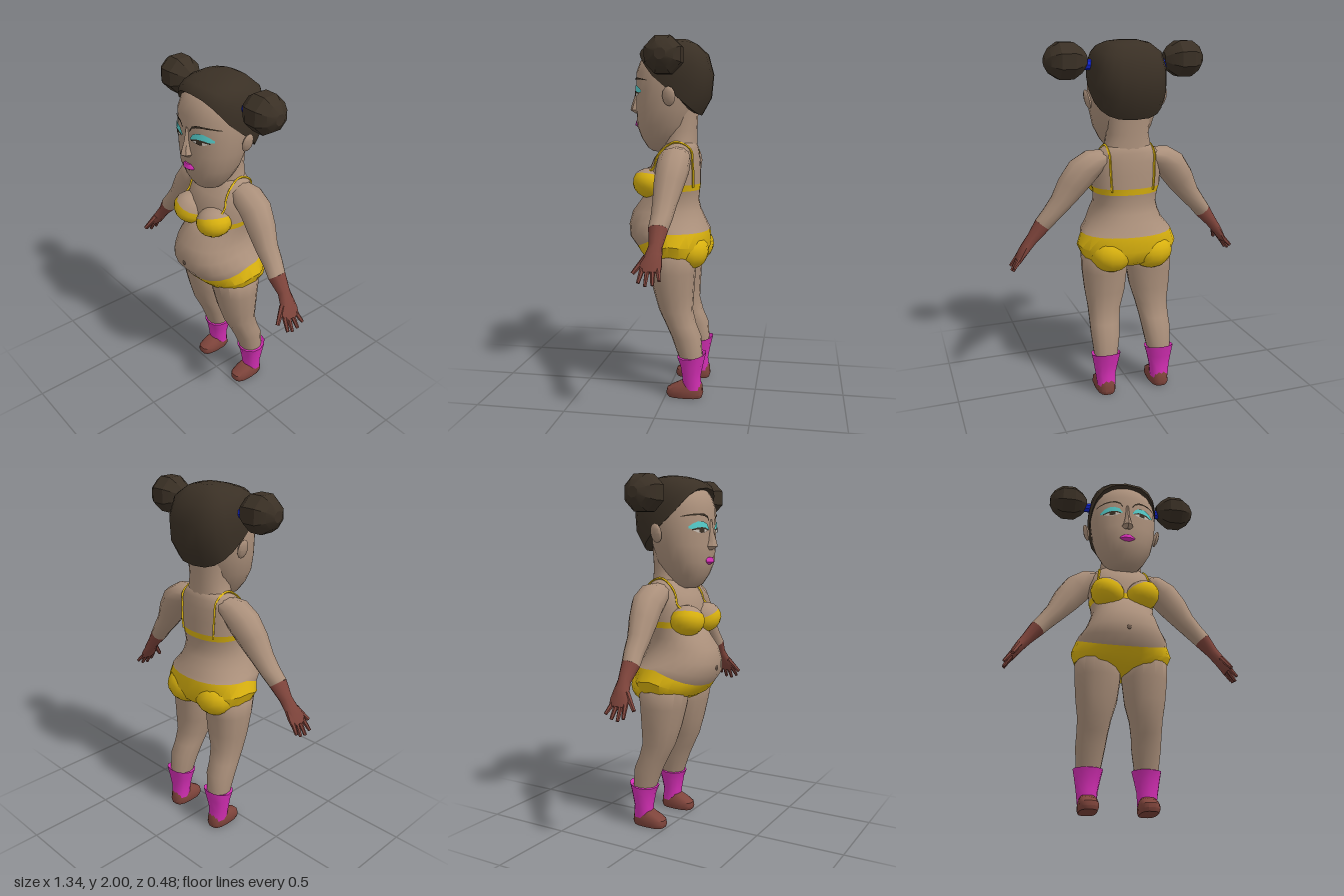
import * as THREE from 'three';
import { toCreasedNormals } from 'three/addons/utils/BufferGeometryUtils.js';

const mat = (name, color) => Object.assign(new THREE.MeshStandardMaterial({ color }), { name });
const V = (x, y, z) => new THREE.Vector3(x, y, z);

// horizontal cross-section from a row [y, halfWidth, zFront, zBack, centreX, yFront, yBack]
function section([y, hw, zf, zb, cx = 0, yf = y, yb = y], n, seg) {
  const ring = [], zc = (zf + zb) / 2, d = (zf - zb) / 2;
  const pow = (v) => Math.sign(v) * Math.abs(v) ** (2 / n);
  for (let i = 0; i < seg; i++) {
    const a = (i / seg) * Math.PI * 2, c = Math.cos(a), s = Math.sin(a);
    const yy = s > 0 ? y + (yf - y) * s : y + (yb - y) * (-s) ** 0.8;
    ring.push(V(cx + hw * pow(c), yy, zc + d * pow(s)));
  }
  return ring;
}

// cross-sections across a path in x and y; points are [x, y, z, radius, zRadius]
function pathSections(points, seg) {
  return points.map(([x, y, z, r, rz], i) => {
    const a = points[Math.max(i - 1, 0)], b = points[Math.min(i + 1, points.length - 1)];
    const t = V(b[0] - a[0], b[1] - a[1], 0).normalize();
    return Array.from({ length: seg }, (_, k) => {
      const q = (k / seg) * Math.PI * 2, c = Math.cos(q) * r;
      return V(x + t.y * c, y - t.x * c, z + Math.sin(q) * rz);
    });
  });
}

// closed skin over a list of cross-sections
function skinOver(rings) {
  const seg = rings[0].length, pos = [], idx = [];
  const centre = (ring) => {
    const c = ring.reduce((s, p) => s.add(p), V(0, 0, 0)).divideScalar(seg);
    return ring.map(() => c);
  };
  const all = [centre(rings[0]), ...rings, centre(rings[rings.length - 1])];
  all.forEach((ring) => ring.forEach((p) => pos.push(p.x, p.y, p.z)));
  for (let r = 0; r < all.length - 1; r++) {
    for (let i = 0; i < seg; i++) {
      const j = (i + 1) % seg, a = r * seg + i, b = r * seg + j, c = a + seg, d = b + seg;
      if (r > 0) idx.push(a, c, b);
      if (r < all.length - 2) idx.push(b, c, d);
      if (r === 0) idx.push(a, c, d);
      if (r === all.length - 2) continue;
    }
  }
  // first fan needs only its outward triangles
  const geo = new THREE.BufferGeometry();
  geo.setAttribute('position', new THREE.Float32BufferAttribute(pos, 3));
  geo.setIndex(idx);
  return geo;
}
const loft = (rows, n = 2, seg = 20) => skinOver(rows.map((r) => section(r, n, seg)));

// depth of a lofted surface at x, y
function surfaceZ(rows, n, x, y, front = true) {
  let i = 0;
  while (i < rows.length - 2 && rows[i + 1][0] < y) i++;
  const a = rows[i], b = rows[i + 1], t = THREE.MathUtils.clamp((y - a[0]) / (b[0] - a[0]), 0, 1);
  const [hw, zf, zb] = [1, 2, 3].map((k) => a[k] + (b[k] - a[k]) * t);
  const d = ((zf - zb) / 2) * (1 - Math.min(Math.abs(x) / hw, 1) ** n) ** (1 / n);
  return (zf + zb) / 2 + (front ? d : -d);
}

// thin painted face following a surface; columns are [x, yTop, yBottom]
function patch(rows, n, cols, lift) {
  const pos = [], idx = [];
  cols.forEach(([x, t, b], i) => {
    for (const y of [t, (t + b) / 2, b]) pos.push(x, y, surfaceZ(rows, n, x, y) + lift);
    if (i) for (const k of [0, 1]) {
      const p = (i - 1) * 3 + k, q = p + 3;
      idx.push(p, p + 1, q, q, p + 1, q + 1);
    }
  });
  const geo = new THREE.BufferGeometry();
  geo.setAttribute('position', new THREE.Float32BufferAttribute(pos, 3));
  geo.setIndex(idx);
  return geo;
}

function mirrored(src) {
  const geo = src.index ? src.toNonIndexed() : src.clone(), p = geo.attributes.position;
  for (let i = 0; i < p.count; i += 3) {
    const [a, b, c] = [0, 1, 2].map((k) => V(-p.getX(i + k), p.getY(i + k), p.getZ(i + k)));
    [a, c, b].forEach((v, k) => p.setXYZ(i + k, v.x, v.y, v.z));
  }
  return geo;
}

export function createModel() {
  const model = new THREE.Group();
  const skin = mat('skin', 0xab907b), hair = mat('dark hair', 0x3a3025), yellow = mat('yellow cloth', 0xdcb40f);
  const pink = mat('pink', 0xd62fb6), brown = mat('red brown leather', 0x7e443b), blue = mat('blue band', 0x1226d6);
  const shadow = mat('turquoise makeup', 0x58d2d0), white = mat('eye white', 0xc9c0b6), shade = mat('dark skin', 0x6f5b4d);

  const add = (name, geo, material, crease = 0.7) => {
    geo.deleteAttribute('uv');
    const mesh = new THREE.Mesh(toCreasedNormals(geo, crease), material);
    mesh.name = name;
    model.add(mesh);
  };
  const pair = (name, geo, material, crease) => {
    const other = mirrored(geo);
    add('left' + name, geo, material, crease);
    add('right' + name, other, material, crease);
  };

  // torso, split where the cloth begins and ends
  const torso = [
    [0.745, 0.04, 0.05, -0.1], [0.765, 0.1, 0.1, -0.17],
    [0.82, 0.265, 0.135, -0.205, 0, 0.785, 0.79], [0.88, 0.288, 0.165, -0.232, 0, 0.815, 0.86],
    [0.945, 0.262, 0.19, -0.225, 0, 0.845, 0.945], [0.965, 0.25, 0.23, -0.215, 0, 0.9, 0.965],
    [1.01, 0.215, 0.238, -0.195, 0, 0.97, 1.01], [1.06, 0.195, 0.218, -0.172, 0, 1.045, 1.06],
    [1.11, 0.18, 0.17, -0.16], [1.17, 0.185, 0.13, -0.165], [1.205, 0.195, 0.125, -0.17],
    [1.28, 0.2, 0.12, -0.168], [1.35, 0.195, 0.09, -0.163], [1.4, 0.18, 0.05, -0.155],
    [1.435, 0.13, 0.03, -0.145], [1.45, 0.08, 0.02, -0.13]];
  add('briefs', loft(torso.slice(0, 5), 2.2, 24), yellow);
  add('belly', loft(torso.slice(4, 10), 2.2, 24), skin, 1);
  add('braBand', loft(torso.slice(9, 11), 2.2, 24), yellow);
  add('chest', loft(torso.slice(10), 2.2, 24), skin, 1);
  add('navel', new THREE.SphereGeometry(1, 8, 6).scale(0.012, 0.014, 0.005).translate(0, 0.94, 0.236), shade);
  pair('Buttock', new THREE.SphereGeometry(1, 14, 10).scale(0.122, 0.105, 0.11).translate(0.118, 0.835, -0.125), yellow, 1);

  // bust: bare upper cap and cloth cup
  const bust = (start, length, rows) => new THREE.SphereGeometry(1, 16, rows, 0, Math.PI * 2, start, length)
    .scale(0.1, 0.085, 0.1).rotateZ(0.35).rotateX(-0.15).translate(0.102, 1.21, 0.1);
  pair('Bust', bust(0, 1.2, 4), skin, 1);
  pair('BraCup', bust(1.2, Math.PI - 1.2, 6), yellow, 1);
  const strap = [];
  for (const [x, y] of [[0.16, 1.25], [0.155, 1.3], [0.148, 1.35], [0.14, 1.4]])
    strap.push(V(x, y, Math.max(surfaceZ(torso, 2.2, x, y), y < 1.28 ? 0.14 : 0) + 0.004));
  strap.push(V(0.13, 1.44, -0.05));
  for (const [x, y] of [[0.13, 1.4], [0.128, 1.33], [0.125, 1.26], [0.12, 1.19]])
    strap.push(V(x, y, surfaceZ(torso, 2.2, x, y, false) - 0.004));
  pair('BraStrap', new THREE.TubeGeometry(new THREE.CatmullRomCurve3(strap), 30, 0.007, 4), yellow);

  // legs, socks and shoes
  pair('Leg', loft([
    [0.22, 0.066, -0.08, -0.21, 0.163], [0.35, 0.083, -0.033, -0.2, 0.157], [0.42, 0.087, 0, -0.17, 0.152],
    [0.5, 0.095, 0.04, -0.15, 0.145], [0.6, 0.117, 0.07, -0.155, 0.137], [0.72, 0.13, 0.1, -0.163, 0.134],
    [0.81, 0.131, 0.118, -0.175, 0.134], [0.86, 0.09, 0.08, -0.14, 0.134]], 2.2, 14), skin, 0.9);
  pair('Sock', loft([
    [0.05, 0.053, -0.1, -0.208, 0.165], [0.12, 0.06, -0.095, -0.2, 0.167], [0.19, 0.073, -0.083, -0.213, 0.165],
    [0.24, 0.084, -0.065, -0.23, 0.163, 0.235, 0.262], [0.24, 0.068, -0.075, -0.215, 0.163]], 2.3, 12), pink);
  pair('Shoe', loft([
    [0, 0.05, -0.012, -0.208, 0.165], [0.02, 0.057, -0.004, -0.215, 0.165], [0.045, 0.055, -0.008, -0.212, 0.165],
    [0.068, 0.05, -0.045, -0.21, 0.165], [0.09, 0.04, -0.09, -0.2, 0.165]], 2.8, 14), brown);

  // arms, gloves and fingers
  const arm = [
    [0.13, 1.375, -0.055, 0.045, 0.07], [0.2, 1.35, -0.055, 0.075, 0.09], [0.265, 1.3, -0.055, 0.09, 0.09],
    [0.325, 1.22, -0.045, 0.083, 0.08], [0.385, 1.13, -0.035, 0.062, 0.065], [0.44, 1.065, -0.03, 0.052, 0.058],
    [0.485, 1.01, -0.02, 0.048, 0.052], [0.545, 0.935, -0.02, 0.034, 0.036], [0.577, 0.893, -0.015, 0.029, 0.045],
    [0.605, 0.85, -0.008, 0.022, 0.058], [0.625, 0.815, -0.008, 0.015, 0.054]];
  pair('Arm', skinOver(pathSections(arm.slice(0, 7), 10)), skin, 0.9);
  pair('Glove', skinOver(pathSections(arm.slice(6), 10)), brown, 0.9);
  const digit = (a, b, r) => {
    const d = b.clone().sub(a), q = new THREE.Quaternion().setFromUnitVectors(V(0, 1, 0), d.clone().normalize());
    return new THREE.CylinderGeometry(r * 0.65, r, d.length(), 6).applyQuaternion(q).translate(...a.clone().add(b).divideScalar(2));
  };
  [[0.034, 0.048, 0.768], [0.008, 0.013, 0.752], [-0.018, -0.025, 0.758], [-0.044, -0.06, 0.782]].forEach(([z0, z1, y], i) =>
    pair('Finger' + (i + 1), digit(V(0.617, 0.83, z0), V(0.66, y, z1), 0.014), brown));
  pair('Thumb', digit(V(0.583, 0.885, 0.022), V(0.617, 0.805, 0.085), 0.017), brown);

  // neck and head
  add('neck', loft([[1.36, 0.16, 0.04, -0.15], [1.43, 0.13, 0.04, -0.148], [1.5, 0.12, 0.05, -0.148], [1.64, 0.13, 0.05, -0.155]], 2.2, 18), skin, 1);
  const head = [
    [1.385, 0.05, 0.1, 0], [1.405, 0.085, 0.13, -0.03], [1.46, 0.128, 0.165, -0.07], [1.53, 0.165, 0.19, -0.11],
    [1.62, 0.188, 0.193, -0.14], [1.72, 0.199, 0.193, -0.165], [1.82, 0.197, 0.193, -0.19],
    [1.88, 0.182, 0.172, -0.19], [1.93, 0.15, 0.14, -0.17], [1.96, 0.1, 0.08, -0.13]];
  add('head', loft(head, 2.2, 24), skin, 1);
  add('nose', loft([[1.597, 0.02, 0.205, 0.14], [1.615, 0.034, 0.235, 0.14], [1.64, 0.024, 0.23, 0.14],
    [1.69, 0.015, 0.212, 0.14], [1.76, 0.014, 0.198, 0.14]], 1.8, 8), skin, 0.5);
  add('lips', loft([[1.518, 0.02, 0.19, 0.15], [1.532, 0.046, 0.207, 0.15], [1.542, 0.048, 0.203, 0.15], [1.557, 0.03, 0.2, 0.15]], 2, 14), pink, 0.6);
  pair('Ear', new THREE.SphereGeometry(1, 8, 6).scale(0.018, 0.054, 0.036).rotateZ(-0.25).translate(0.218, 1.688, -0.026), skin);

  // painted eyes and brows
  const face = (name, cols, material, lift) => pair(name, patch(head, 2.2, cols, lift), material);
  face('EyeShadow', [[0.032, 1.712, 1.705], [0.05, 1.738, 1.708], [0.08, 1.75, 1.712], [0.11, 1.75, 1.712], [0.135, 1.74, 1.708], [0.157, 1.722, 1.712]], shadow, 0.006);
  face('Eye', [[0.045, 1.703, 1.7], [0.065, 1.712, 1.692], [0.09, 1.714, 1.689], [0.115, 1.712, 1.692], [0.135, 1.706, 1.702]], white, 0.005);
  face('Pupil', [[0.074, 1.71, 1.694], [0.09, 1.713, 1.69], [0.106, 1.71, 1.694]], hair, 0.008);
  face('Lashes', [[0.04, 1.706, 1.7], [0.065, 1.717, 1.708], [0.09, 1.719, 1.709], [0.115, 1.717, 1.707], [0.143, 1.708, 1.702]], hair, 0.0085);
  face('Brow', [[0.03, 1.757, 1.745], [0.045, 1.779, 1.768], [0.07, 1.79, 1.778], [0.1, 1.792, 1.782], [0.13, 1.79, 1.781], [0.16, 1.784, 1.777], [0.178, 1.777, 1.773]], hair, 0.006);

  // hair cap, bands and buns
  add('hairCap', loft([
    [1.74, 0.16, 0.12, -0.13, 0, 1.91, 1.6], [1.735, 0.203, 0.168, -0.175, 0, 1.93, 1.585],
    [1.8, 0.21, 0.158, -0.228, 0, 1.95, 1.68], [1.88, 0.201, 0.13, -0.24, 0, 1.968, 1.81],
    [1.945, 0.175, 0.085, -0.21, 0, 1.984, 1.92], [1.985, 0.12, 0.04, -0.15, 0, 1.995, 1.975],
    [2, 0.05, 0, -0.1]], 2.7, 20), hair, 0.8);
  pair('HairBand', new THREE.CylinderGeometry(0.028, 0.028, 0.05, 8).rotateZ(Math.PI / 2).translate(0.215, 1.87, -0.022), blue);
  const bun = [[0, 0.22], [0.035, 0.222], [0.07, 0.25], [0.104, 0.3], [0.104, 0.375], [0.07, 0.425], [0.03, 0.45], [0, 0.45]];
  pair('HairBun', new THREE.LatheGeometry(bun.map(([r, h]) => new THREE.Vector2(r, h)), 8)
    .rotateZ(-Math.PI / 2).rotateX(Math.PI / 8).translate(0, 1.893, -0.022), hair, 0.5);
  return model;
}
